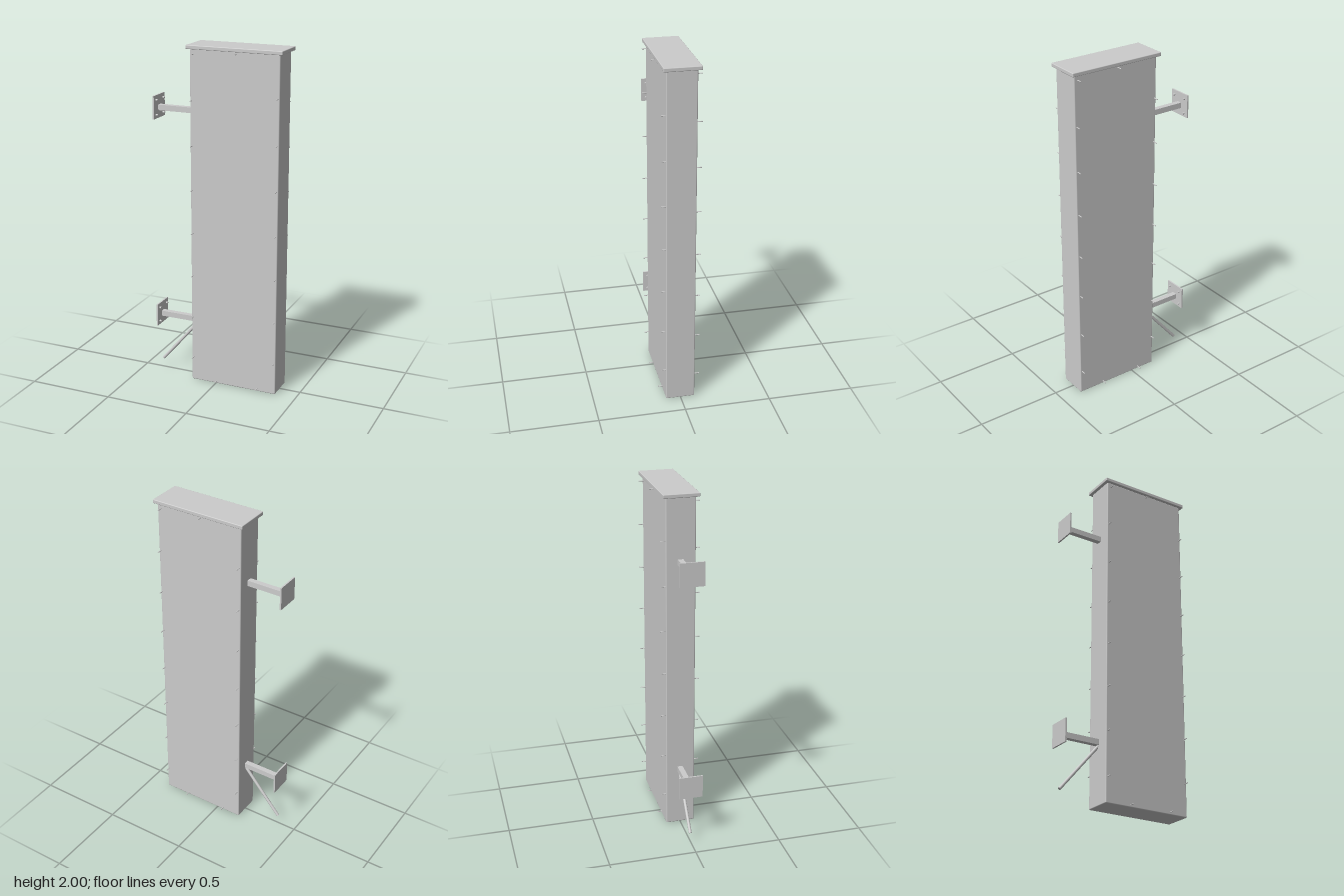
import * as THREE from 'three';
import { RoundedBoxGeometry } from 'three/addons/geometries/RoundedBoxGeometry.js';

const material = new THREE.MeshStandardMaterial({ color: 0xcccccc });

export function createModel() {
  const model = new THREE.Group();
  model.name = 'wallMountedCabinet';

  const add = (parent, name, geometry, x, y, z) => {
    const mesh = new THREE.Mesh(geometry, material);
    mesh.name = name;
    mesh.position.set(x, y, z);
    parent.add(mesh);
    return mesh;
  };

  // Tall panel body with softened edges, and an overhanging cap
  const bodyX = 0.11;
  add(model, 'body', new RoundedBoxGeometry(0.529, 1.981, 0.168, 2, 0.006), bodyX, 0.9905, 0.001);
  add(model, 'cap', new RoundedBoxGeometry(0.565, 0.022, 0.204, 2, 0.004), bodyX, 1.989, 0);

  // Pins around the rim of the front; the back repeats them turned half a circle
  const pinSpots = [[-0.132, 1.95], [0.122, 1.965], [0.005, 0.015], [0.262, 0.015]];
  for (let i = 0; i < 7; i++) {
    pinSpots.push([-0.143, 1.693 - i * 0.258]);
    pinSpots.push([0.364, 1.74 - i * 0.258]);
  }
  const pinGeometry = new THREE.CylinderGeometry(0.003, 0.003, 0.04, 10).rotateX(Math.PI / 2);
  for (const side of [1, -1]) {
    const pins = new THREE.Group();
    pins.name = side > 0 ? 'frontPins' : 'backPins';
    for (const [x, y] of pinSpots) {
      add(pins, 'pin', pinGeometry, bodyX + side * (x - bodyX), y, side * 0.091);
    }
    model.add(pins);
  }

  // Wall brackets: square bar, plate and four bolts
  const plateGeometry = new THREE.BoxGeometry(0.009, 0.134, 0.137);
  const barGeometry = new THREE.BoxGeometry(0.25, 0.032, 0.031);
  const boltGeometry = new THREE.CylinderGeometry(0.006, 0.006, 0.014, 12).rotateZ(Math.PI / 2);
  const makeBracket = (name, y) => {
    const bracket = new THREE.Group();
    bracket.name = name;
    bracket.position.y = y;
    add(bracket, 'plate', plateGeometry, -0.3925, 0.002, -0.0015);
    add(bracket, 'bar', barGeometry, -0.265, -0.005, -0.0015);
    for (const dy of [-0.043, 0.043]) {
      for (const dz of [-0.0435, 0.0435]) {
        add(bracket, 'bolt', boltGeometry, -0.383, dy, dz - 0.0015);
      }
    }
    model.add(bracket);
  };
  makeBracket('upperBracket', 1.625);
  makeBracket('lowerBracket', 0.361);

  // Diagonal rod sloping down from the body below the lower bracket
  const start = new THREE.Vector3(-0.386, 0.058, -0.0015);
  const end = new THREE.Vector3(-0.145, 0.342, -0.0015);
  const along = end.clone().sub(start);
  const rod = add(model, 'diagonalRod',
    new THREE.CylinderGeometry(0.009, 0.009, along.length(), 16), 0, 0, 0);
  rod.position.copy(start).add(end).multiplyScalar(0.5);
  rod.quaternion.setFromUnitVectors(new THREE.Vector3(0, 1, 0), along.normalize());

  return model;
}
